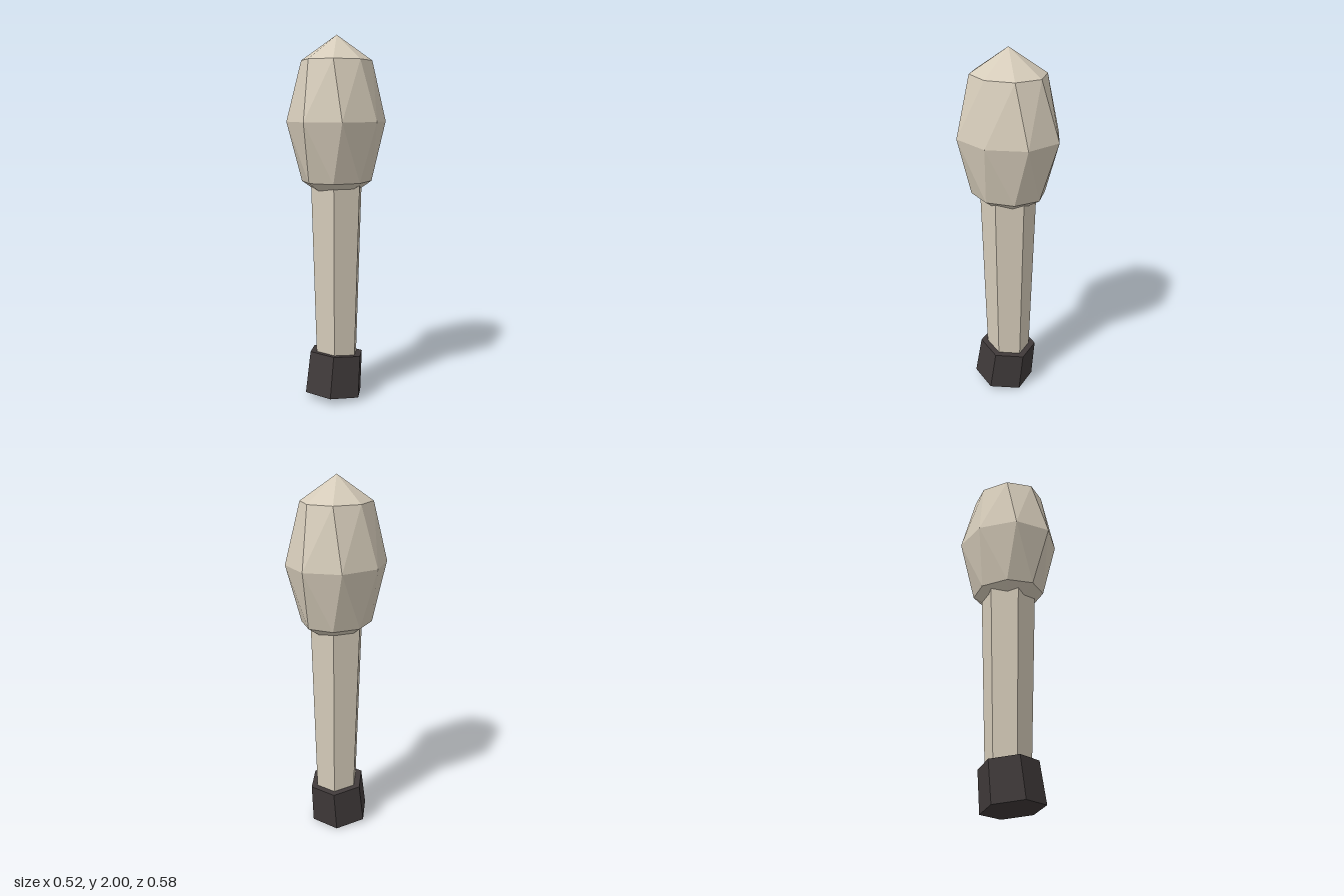
import * as THREE from 'three';
import { ConvexGeometry } from 'three/addons/geometries/ConvexGeometry.js';

const bone = new THREE.MeshStandardMaterial({ color: 0xd6ccba, flatShading: true });
bone.name = 'pale bone';
const dark = new THREE.MeshStandardMaterial({ color: 0x403a3a, flatShading: true });
dark.name = 'dark grip';

// Six-sided tapered prism with corners on the x axis
function hexPrism(name, top, bottom, height, material) {
  const mesh = new THREE.Mesh(
    new THREE.CylinderGeometry(top, bottom, height, 6, 1, false, Math.PI / 6), material);
  mesh.name = name;
  return mesh;
}

// Faceted egg: two poles and three eight-point rings, the outer rings twisted
function headGeometry() {
  const radius = new THREE.Vector3(0.259, 0.455, 0.289);
  const points = [new THREE.Vector3(0, 1, 0), new THREE.Vector3(0, -1, 0)];
  for (const [lat, twist] of [[1, 1], [0, 0], [-1, 1]]) {
    const elevation = lat * Math.PI / 4;
    for (let i = 0; i < 8; i++) {
      const a = i * Math.PI / 4 + twist * Math.PI / 16;
      const r = Math.cos(elevation);
      points.push(new THREE.Vector3(Math.cos(a) * r, Math.sin(elevation), Math.sin(a) * r));
    }
  }
  return new ConvexGeometry(points.map((p) => p.multiply(radius)));
}

export function createModel() {
  const model = new THREE.Group();
  model.name = 'club';

  const head = new THREE.Mesh(headGeometry(), bone);
  head.name = 'head';
  head.position.y = 1.545;

  const shaft = hexPrism('shaft', 0.154, 0.119, 1.15, bone);
  shaft.position.y = 0.725;

  // Foot cap leans back slightly
  const foot = hexPrism('footCap', 0.16, 0.17, 0.23, dark);
  foot.position.set(0, 0.138, 0.016);
  foot.rotation.x = -0.13;

  model.add(head, shaft, foot);
  return model;
}
